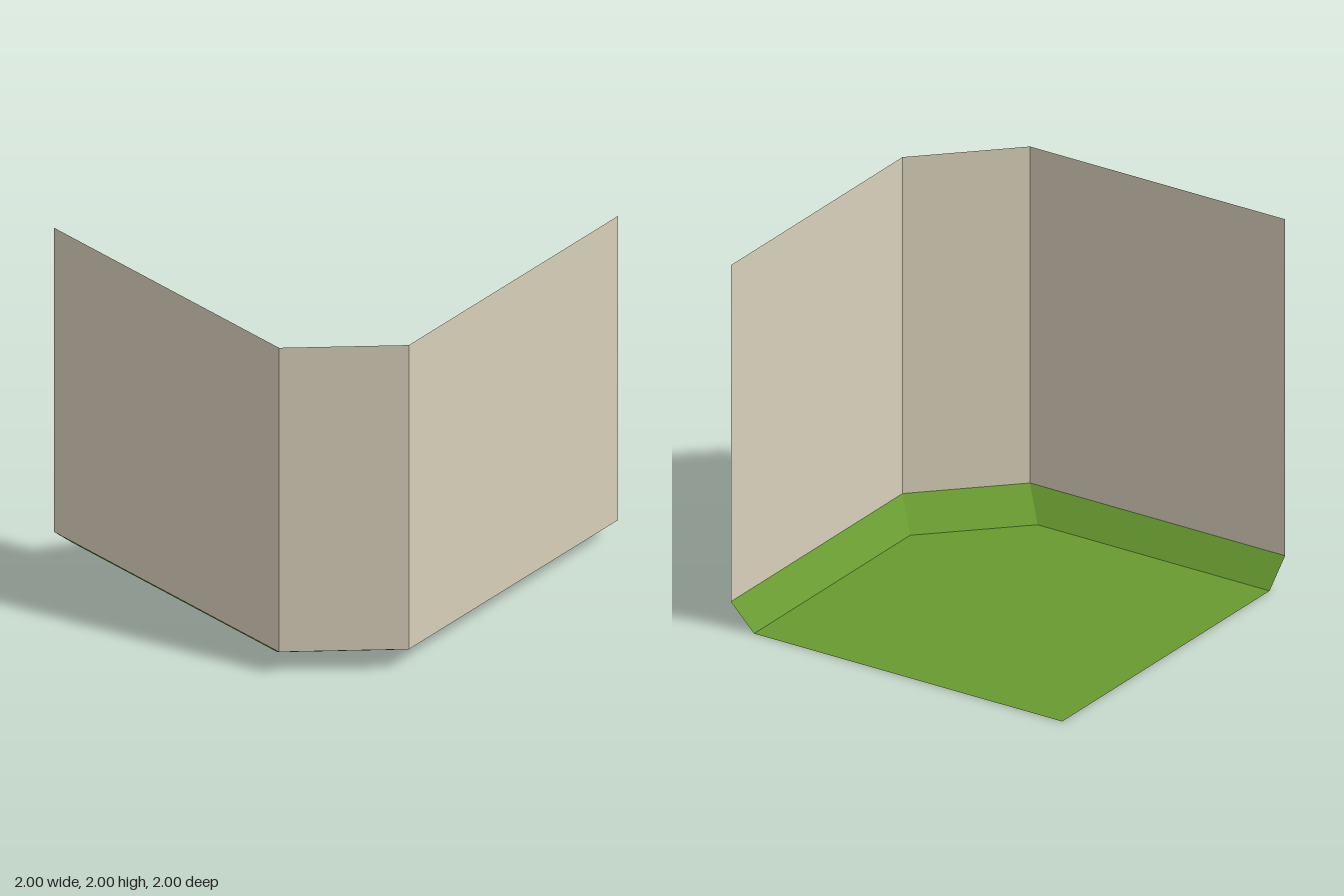
import * as THREE from 'three';

// Plan outlines: back left end, chamfered corner, front right end
const outer = [[-1, -1], [-1, 0.54], [-0.54, 1], [1, 1]];
const inner = [[-0.86, -1], [-0.86, 0.4], [-0.4, 0.86], [1, 0.86]];
const SKIRT = 0.14, TOP = 2;

// Flat quad panels between a lower and an upper outline
function band(low, y0, high, y1) {
  const p = [];
  for (let i = 0; i < low.length - 1; i++) {
    const a = [low[i][0], y0, low[i][1]], b = [low[i + 1][0], y0, low[i + 1][1]];
    const c = [high[i + 1][0], y1, high[i + 1][1]], d = [high[i][0], y1, high[i][1]];
    p.push(...a, ...b, ...c, ...a, ...c, ...d);
  }
  const g = new THREE.BufferGeometry();
  g.setAttribute('position', new THREE.Float32BufferAttribute(p, 3));
  g.computeVertexNormals();
  return g;
}

export function createModel() {
  const group = new THREE.Group();
  const plaster = new THREE.MeshStandardMaterial({ color: 0xd9d1bb, side: THREE.DoubleSide });
  plaster.name = 'beige wall';
  const grass = new THREE.MeshStandardMaterial({ color: 0x679930, side: THREE.DoubleSide });
  grass.name = 'green floor';
  const add = (name, geometry, material) => {
    const mesh = new THREE.Mesh(geometry, material);
    mesh.name = name;
    group.add(mesh);
  };

  // Upright walls, two long ones joined by the chamfered corner
  add('walls', band(outer, SKIRT, outer, TOP), plaster);

  // Sloping skirting from the floor edge up to the walls
  add('slopedSkirting', band(inner, 0, outer, SKIRT), grass);

  // Flat floor with the matching cut corner
  const outline = [...inner, [1, -1]].map(([x, z]) => new THREE.Vector2(x, -z));
  const floor = new THREE.ShapeGeometry(new THREE.Shape(outline));
  floor.rotateX(-Math.PI / 2);
  add('floor', floor, grass);

  return group;
}
